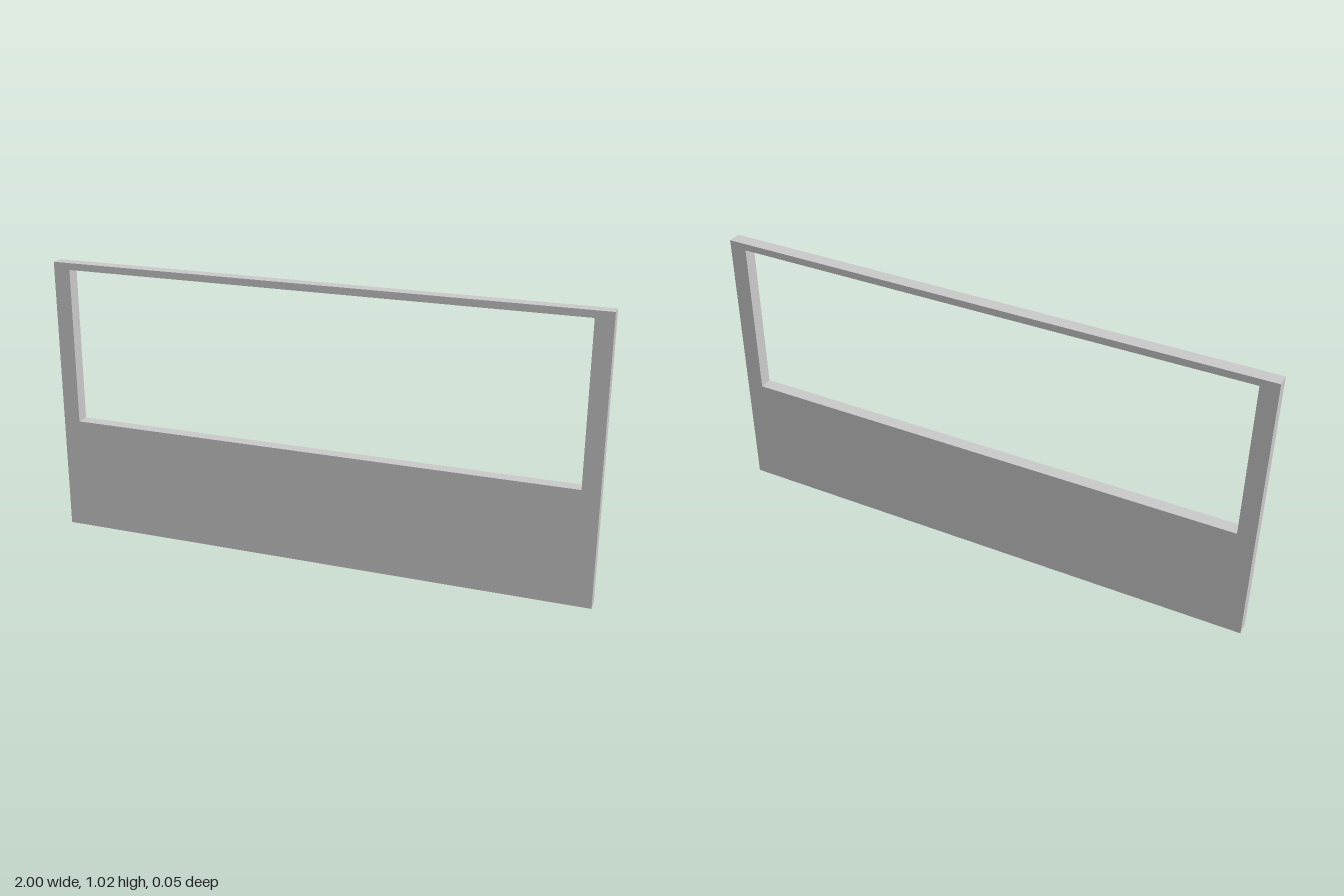
import * as THREE from 'three';

const WIDTH = 2, HEIGHT = 1.025, DEPTH = 0.048;
const OPENING = { halfWidth: 0.937, bottom: 0.422, top: 1.0 };

// Closed rectangular outline, wound counter-clockwise
function rectangle(PathType, x0, y0, x1, y1) {
  const path = new PathType();
  path.moveTo(x0, y0);
  path.lineTo(x1, y0);
  path.lineTo(x1, y1);
  path.lineTo(x0, y1);
  path.closePath();
  return path;
}

export function createModel() {
  const group = new THREE.Group();
  group.name = 'wallPanel';

  // Solid wall with a wide window opening in its upper part
  const outline = rectangle(THREE.Shape, -WIDTH / 2, 0, WIDTH / 2, HEIGHT);
  const { halfWidth, bottom, top } = OPENING;
  outline.holes.push(rectangle(THREE.Path, -halfWidth, bottom, halfWidth, top));

  const geometry = new THREE.ExtrudeGeometry(outline, { depth: DEPTH, bevelEnabled: false });
  geometry.translate(0, 0, -DEPTH / 2);

  const wall = new THREE.Mesh(
    geometry,
    new THREE.MeshStandardMaterial({ color: 0xcccccc, flatShading: true })
  );
  wall.name = 'wallWithWindowOpening';
  group.add(wall);
  return group;
}
